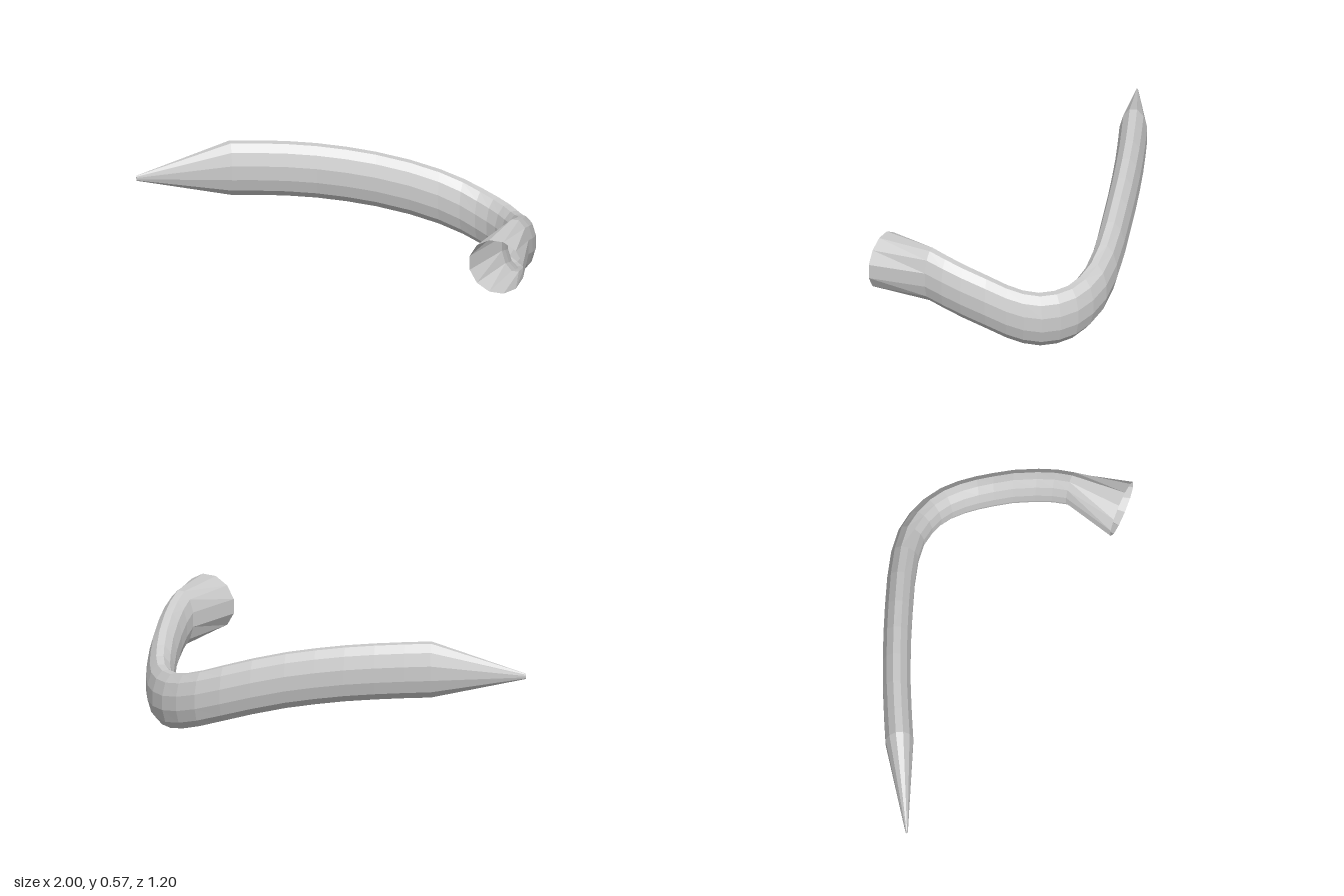
import * as THREE from 'three';

const SIDES = 12;
const H = 0.147, W = 0.072; // half height and half width of the oval section

// Stations along the sweep: x, y, z, half width, half height
const tip = [[-1, 0.397, -0.418, 0.006, 0.014]];
const body = [
  [-0.53, 0.425, -0.483], [-0.4, 0.418, -0.498], [-0.25, 0.407, -0.513], [-0.1, 0.391, -0.523],
  [0.05, 0.368, -0.529], [0.2, 0.339, -0.531], [0.37, 0.295, -0.53], [0.52, 0.247, -0.52],
  [0.64, 0.203, -0.495], [0.73, 0.17, -0.452], [0.8, 0.15, -0.4], [0.853, 0.143, -0.335],
  [0.89, 0.145, -0.26], [0.912, 0.163, -0.18], [0.923, 0.193, -0.1], [0.929, 0.24, 0],
  [0.925, 0.288, 0.12], [0.914, 0.324, 0.21], [0.895, 0.353, 0.29],
].map((p) => [...p, W, H]);
const mouth = [[0.8, 0.357, 0.552, 0.147, H]];
const stations = [...tip, ...body, ...mouth];

// Sweep upright oval rings along the stations
function sweep(list) {
  const pos = [], index = [];
  const up = new THREE.Vector3(0, 1, 0);
  const pts = list.map((s) => new THREE.Vector3(s[0], s[1], s[2]));
  list.forEach(([x, y, z, w, h], i) => {
    const dir = new THREE.Vector3();
    if (i > 0) dir.add(pts[i].clone().sub(pts[i - 1]).setY(0).normalize());
    if (i < pts.length - 1) dir.add(pts[i + 1].clone().sub(pts[i]).setY(0).normalize());
    const side = dir.normalize().cross(up);
    for (let j = 0; j < SIDES; j++) {
      const a = ((j + 0.5) / SIDES) * Math.PI * 2;
      const c = Math.cos(a) * w;
      pos.push(x + side.x * c, y + Math.sin(a) * h, z + side.z * c);
    }
  });
  for (let i = 0; i < list.length - 1; i++) {
    for (let j = 0; j < SIDES; j++) {
      const k = (j + 1) % SIDES;
      const a = i * SIDES + j, c = i * SIDES + k;
      index.push(a, a + SIDES, c, c, a + SIDES, c + SIDES);
    }
  }
  // Close the small pointed end
  for (let j = 1; j < SIDES - 1; j++) index.push(0, j, j + 1);
  const geo = new THREE.BufferGeometry();
  geo.setAttribute('position', new THREE.Float32BufferAttribute(pos, 3));
  geo.setIndex(index);
  geo.computeVertexNormals();
  return geo;
}

export function createModel() {
  const group = new THREE.Group();
  group.name = 'curvedHorn';
  const material = new THREE.MeshStandardMaterial({
    color: 0xcccccc, flatShading: true, side: THREE.DoubleSide,
  });
  // Bent horn: pointed at one end, open round mouth at the other
  const horn = new THREE.Mesh(sweep(stations), material);
  horn.name = 'horn';
  group.add(horn);
  return group;
}
